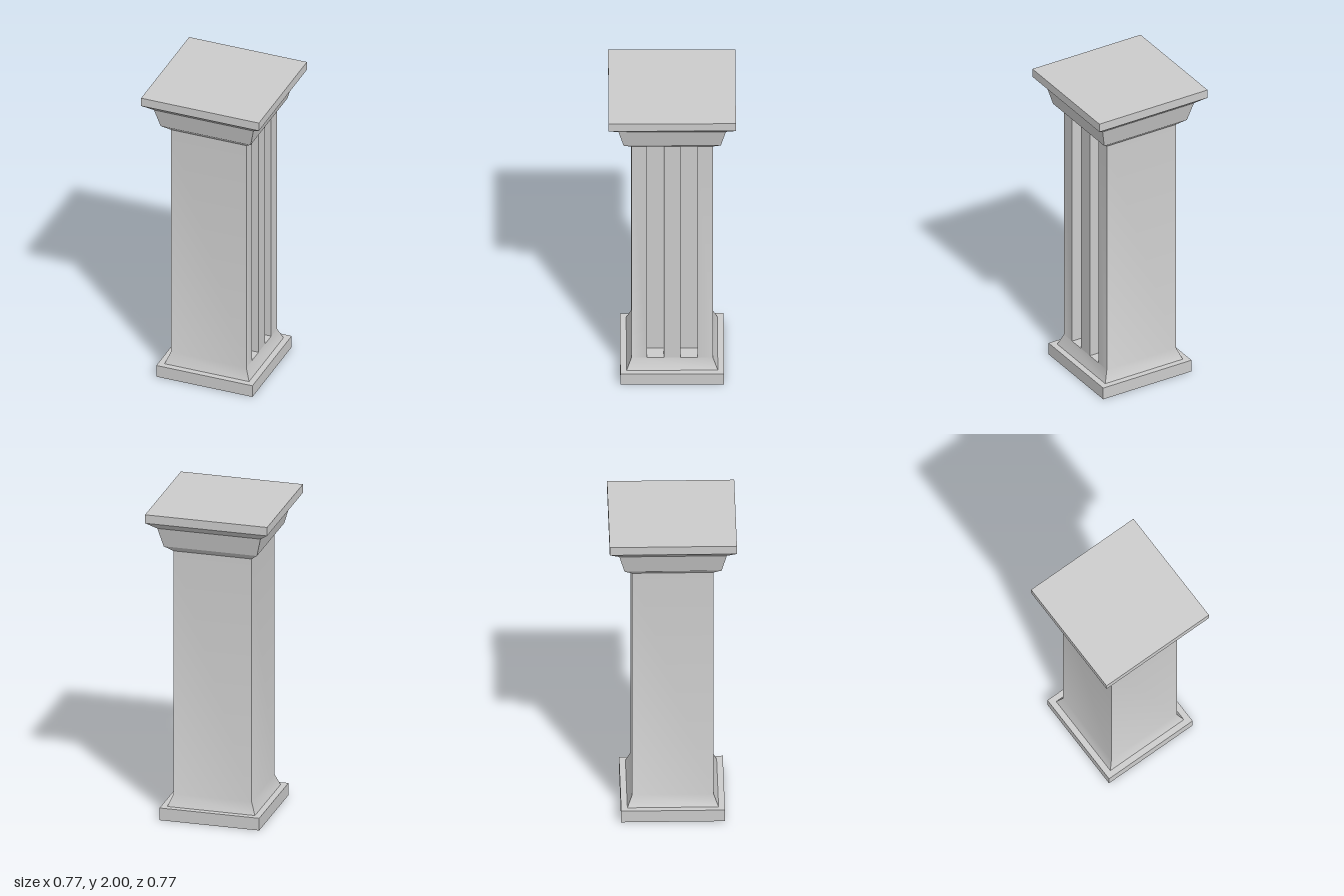
import * as THREE from 'three';
import { mergeGeometries, toCreasedNormals } from 'three/addons/utils/BufferGeometryUtils.js';

const material = new THREE.MeshStandardMaterial({ color: 0xcccccc });

// Square solid from a profile of [half width, height] pairs, closed at both ends
function squareSolid(profile) {
  const full = [[0, profile[0][1]], ...profile, [0, profile[profile.length - 1][1]]];
  const points = full.map(([half, y]) => new THREE.Vector2(half * Math.SQRT2, y));
  const geometry = new THREE.LatheGeometry(points, 4, Math.PI / 4).toNonIndexed();
  geometry.computeVertexNormals();
  return geometry;
}

// Square shaft with vertical grooves cut into its +x face
function groovedShaft(half, bottom, top, depth) {
  const shape = new THREE.Shape();
  shape.moveTo(-half, -half);
  shape.lineTo(half, -half);
  for (const centre of [-0.102, 0.102]) {
    shape.lineTo(half, centre - 0.051);
    shape.lineTo(half - depth, centre - 0.051);
    shape.lineTo(half - depth, centre + 0.051);
    shape.lineTo(half, centre + 0.051);
  }
  shape.lineTo(half, half);
  shape.lineTo(-half, half);
  shape.closePath();
  const geometry = new THREE.ExtrudeGeometry(shape, { depth: top - bottom, bevelEnabled: false });
  return geometry.rotateX(-Math.PI / 2).translate(0, bottom, 0);
}

export function createModel() {
  const model = new THREE.Group();
  model.name = 'squareColumn';
  const add = (name, geometry) => {
    const mesh = new THREE.Mesh(geometry, material);
    mesh.name = name;
    model.add(mesh);
  };

  // Foot slab
  add('plinth', squareSolid([[0.315, 0], [0.315, 0.079]]));

  // Shaft blending softly into the flared foot
  const flare = squareSolid([[0.277, 0.079], [0.247, 0.153]]);
  const shaft = groovedShaft(0.247, 0.153, 1.73, 0.1);
  add('shaft', toCreasedNormals(mergeGeometries([flare, shaft]), Math.PI / 6));

  // Stepped capital with top slab
  add('capital', squareSolid([[0.247, 1.73], [0.295, 1.772], [0.326, 1.896], [0.386, 1.945]]));
  add('abacus', squareSolid([[0.386, 1.945], [0.386, 2]]));

  return model;
}
